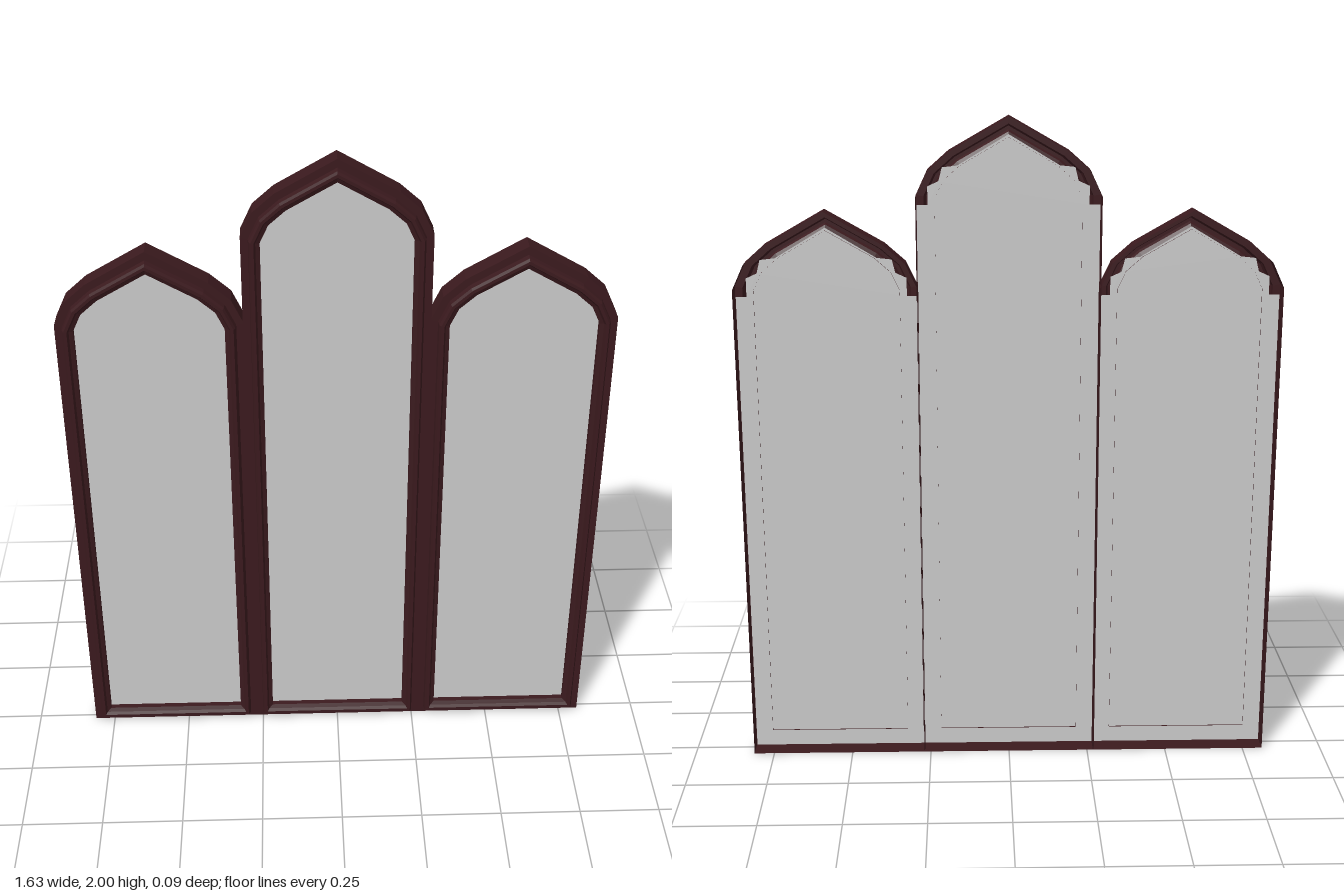
import * as THREE from 'three';

const frameMaterial = new THREE.MeshStandardMaterial({ color: 0x3b1a1e, flatShading: true, side: THREE.DoubleSide });
const glassMaterial = new THREE.MeshStandardMaterial({ color: 0xcccccc, side: THREE.DoubleSide });

// Moulding section: [distance in from the outer edge, z]; hollow at the back
const MOULDING = [
  [0, -0.045], [0, 0.017], [0.022, 0.017], [0.024, 0.036], [0.029, 0.045],
  [0.038, 0.045], [0.043, 0.035], [0.055, 0.029], [0.055, 0.008],
];

// Closed counterclockwise outline from its right half, bottom to peak
function mirrorOutline(half) {
  const points = half.map(([x, y]) => new THREE.Vector2(x, y));
  const left = points.filter((p) => p.x > 0).reverse().map((p) => new THREE.Vector2(-p.x, p.y));
  return [...points, ...left];
}

// Moves every edge inward by d, with mitred corners
function inset(points, d) {
  const n = points.length;
  return points.map((p, i) => {
    const a = p.clone().sub(points[(i + n - 1) % n]).normalize();
    const b = points[(i + 1) % n].clone().sub(p).normalize();
    const na = new THREE.Vector2(-a.y, a.x);
    const nb = new THREE.Vector2(-b.y, b.x);
    return na.clone().add(nb).multiplyScalar(d / (1 + na.dot(nb))).add(p);
  });
}

// Sweeps the moulding around the outline
function frameGeometry(outline) {
  const rings = MOULDING.map(([d, z]) => inset(outline, d).map((p) => [p.x, p.y, z]));
  const positions = [];
  for (let j = 0; j < rings.length - 1; j++) {
    for (let i = 0; i < outline.length; i++) {
      const k = (i + 1) % outline.length;
      const [a, b, c, d] = [rings[j][i], rings[j][k], rings[j + 1][k], rings[j + 1][i]];
      positions.push(...a, ...b, ...c, ...a, ...c, ...d);
    }
  }
  const geometry = new THREE.BufferGeometry();
  geometry.setAttribute('position', new THREE.Float32BufferAttribute(positions, 3));
  geometry.computeVertexNormals();
  return geometry;
}

// One pointed-arch panel; spring is the height where the arch begins
function makePanel(name, x, spring) {
  const panel = new THREE.Group();
  panel.name = name;
  panel.position.x = x;

  const outline = mirrorOutline([
    [0.272, 0], [0.272, spring], [0.237, spring + 0.075], [0.175, spring + 0.13], [0, spring + 0.23],
  ]);
  const frame = new THREE.Mesh(frameGeometry(outline), frameMaterial);
  frame.name = 'archedFrame';

  // Pane fills the hollow frame and is rough-cut behind the arch
  const pane = mirrorOutline([
    [0.27, 0.002], [0.27, spring - 0.03], [0.238, spring - 0.03], [0.238, spring + 0.025],
    [0.205, spring + 0.04], [0.195, spring + 0.08], [0.15, spring + 0.085], [0, spring + 0.175],
  ]);
  const glass = new THREE.Mesh(new THREE.ShapeGeometry(new THREE.Shape(pane)), glassMaterial);
  glass.name = 'glassPane';
  glass.position.z = 0.012;

  panel.add(frame, glass);
  return panel;
}

export function createModel() {
  const model = new THREE.Group();
  model.name = 'triplePointedWindow';
  model.add(
    makePanel('leftPanel', 0.541, 1.5),
    makePanel('centerPanel', 0, 1.77),
    makePanel('rightPanel', -0.541, 1.5),
  );
  return model;
}
